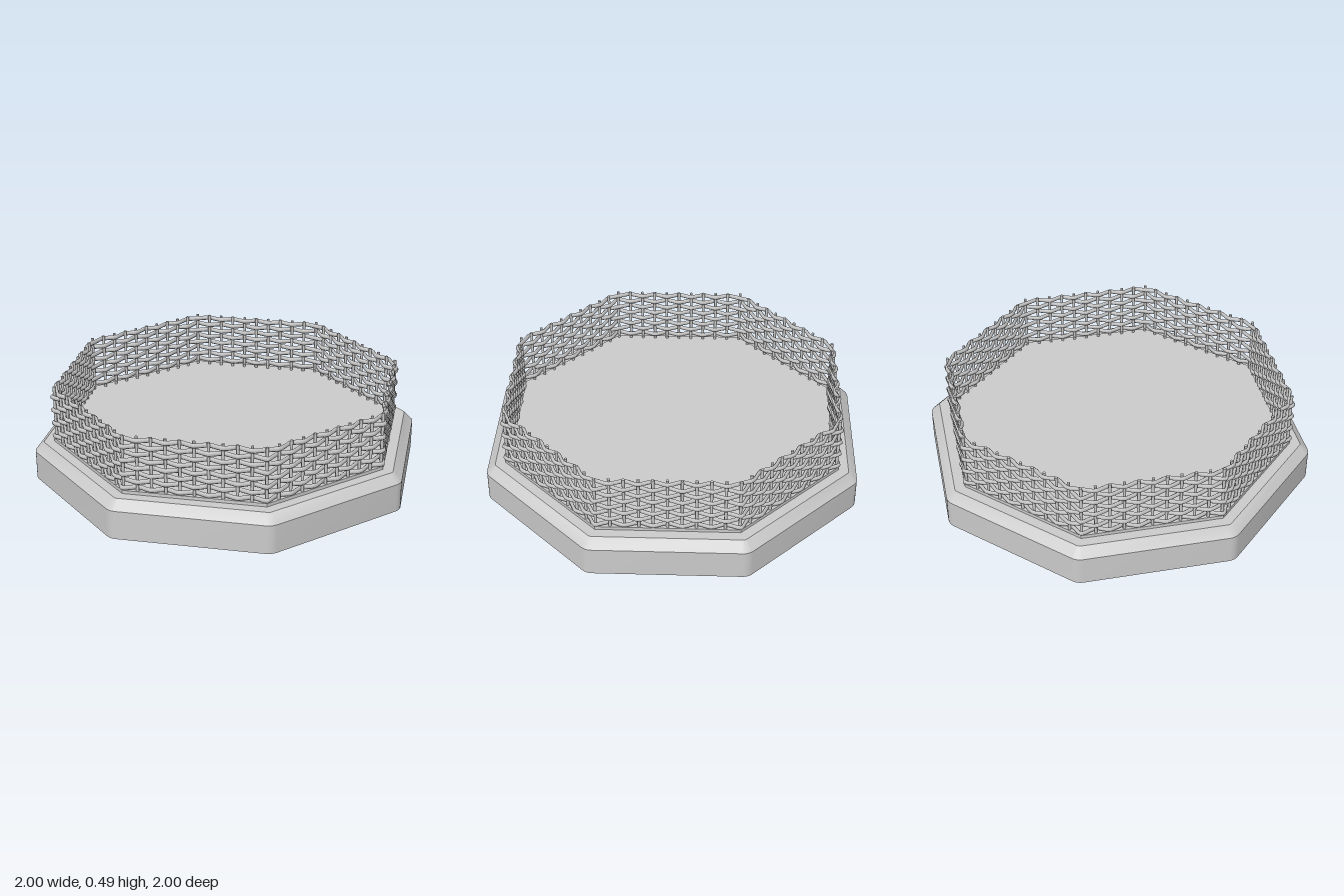
import * as THREE from 'three';
import { mergeGeometries, toCreasedNormals } from 'three/addons/utils/BufferGeometryUtils.js';

const SIDES = 8, POSTS_PER_SIDE = 10, ROWS = 8;
const FLOOR = 0.193, SILL_TOP = 0.21, FENCE_R = 0.89;

// Point on an octagon of corner radius r; t counts sides from the front corner
function octPoint(t, r, y = 0) {
  const i = Math.floor(t), f = t - i;
  const corner = k => new THREE.Vector3(Math.sin(k * Math.PI / 4) * r, y, Math.cos(k * Math.PI / 4) * r);
  return corner(i).lerp(corner(i + 1), f);
}

// Octagon outline with corners rounded by radius rho
function roundedOutline(rho, centreR = 0.93, steps = 4) {
  const pts = [];
  for (let k = 0; k < SIDES; k++) {
    const a = k * Math.PI / 4;
    for (let s = 0; s <= steps; s++) {
      const b = a + (s / steps - 0.5) * Math.PI / 4;
      pts.push([Math.sin(a) * centreR + Math.sin(b) * rho, Math.cos(a) * centreR + Math.cos(b) * rho]);
    }
  }
  return pts;
}

// Closed solid through stacked [rho, y] outlines
function loft(levels) {
  const pos = [], idx = [];
  const n = roundedOutline(0.1).length;
  for (const [rho, y] of levels) for (const [x, z] of roundedOutline(rho)) pos.push(x, y, z);
  const last = levels.length - 1, bottom = pos.length / 3, top = bottom + 1;
  pos.push(0, levels[0][1], 0, 0, levels[last][1], 0);
  for (let i = 0; i < n; i++) {
    const k = (i + 1) % n;
    for (let j = 0; j < last; j++) {
      const a = j * n + i, b = j * n + k;
      idx.push(a, b, b + n, a, b + n, a + n);
    }
    idx.push(bottom, k, i, top, last * n + i, last * n + k);
  }
  const g = new THREE.BufferGeometry();
  g.setAttribute('position', new THREE.Float32BufferAttribute(pos, 3));
  g.setIndex(idx);
  return toCreasedNormals(g, 0.5);
}

export function createModel() {
  const model = new THREE.Group();
  const mat = new THREE.MeshStandardMaterial({ color: 0xcccccc });
  const add = (name, geometry, parent = model) => {
    const mesh = new THREE.Mesh(geometry, mat);
    mesh.name = name;
    parent.add(mesh);
    return mesh;
  };

  // Octagonal base with a chamfered top edge
  add('base', loft([[0.07, 0], [0.07, 0.147], [0.025, FLOOR]]));

  // Low sill under the fence
  const ring = r => Array.from({ length: SIDES }, (_, k) => {
    const p = octPoint(k, r);
    return new THREE.Vector2(p.x, p.z);
  });
  const sill = new THREE.Shape(ring(0.902));
  sill.holes.push(new THREE.Path(ring(0.878)));
  const sillGeo = new THREE.ExtrudeGeometry(sill, { depth: SILL_TOP - FLOOR + 0.005, bevelEnabled: false });
  sillGeo.rotateX(-Math.PI / 2).translate(0, FLOOR - 0.005, 0);
  add('sill', sillGeo);

  const fence = new THREE.Group();
  fence.name = 'wovenFence';
  model.add(fence);

  // Upright stakes
  const total = SIDES * POSTS_PER_SIDE, postTop = 0.492;
  const posts = [];
  for (let i = 0; i < total; i++) {
    const p = octPoint(i / POSTS_PER_SIDE, FENCE_R);
    const h = postTop - FLOOR;
    posts.push(new THREE.CylinderGeometry(0.008, 0.008, h, 6).translate(p.x, FLOOR + h / 2, p.z));
  }
  add('stakes', mergeGeometries(posts), fence);

  // Horizontal strands passing in front of and behind alternate stakes
  const strand = phase => {
    const pts = [];
    for (let i = 0; i < total * 2; i++) {
      const wave = Math.cos(i * Math.PI / 2 + phase * Math.PI);
      pts.push(octPoint(i / (2 * POSTS_PER_SIDE), FENCE_R + 0.013 * wave));
    }
    return new THREE.TubeGeometry(new THREE.CatmullRomCurve3(pts, true), total * 4, 0.008, 6, true).scale(1, 1.6, 1);
  };
  const strands = [strand(0), strand(1)];
  for (let r = 0; r < ROWS; r++) {
    add('strand' + (r + 1), strands[r % 2], fence).position.y = 0.224 + r * 0.0356;
  }
  return model;
}
